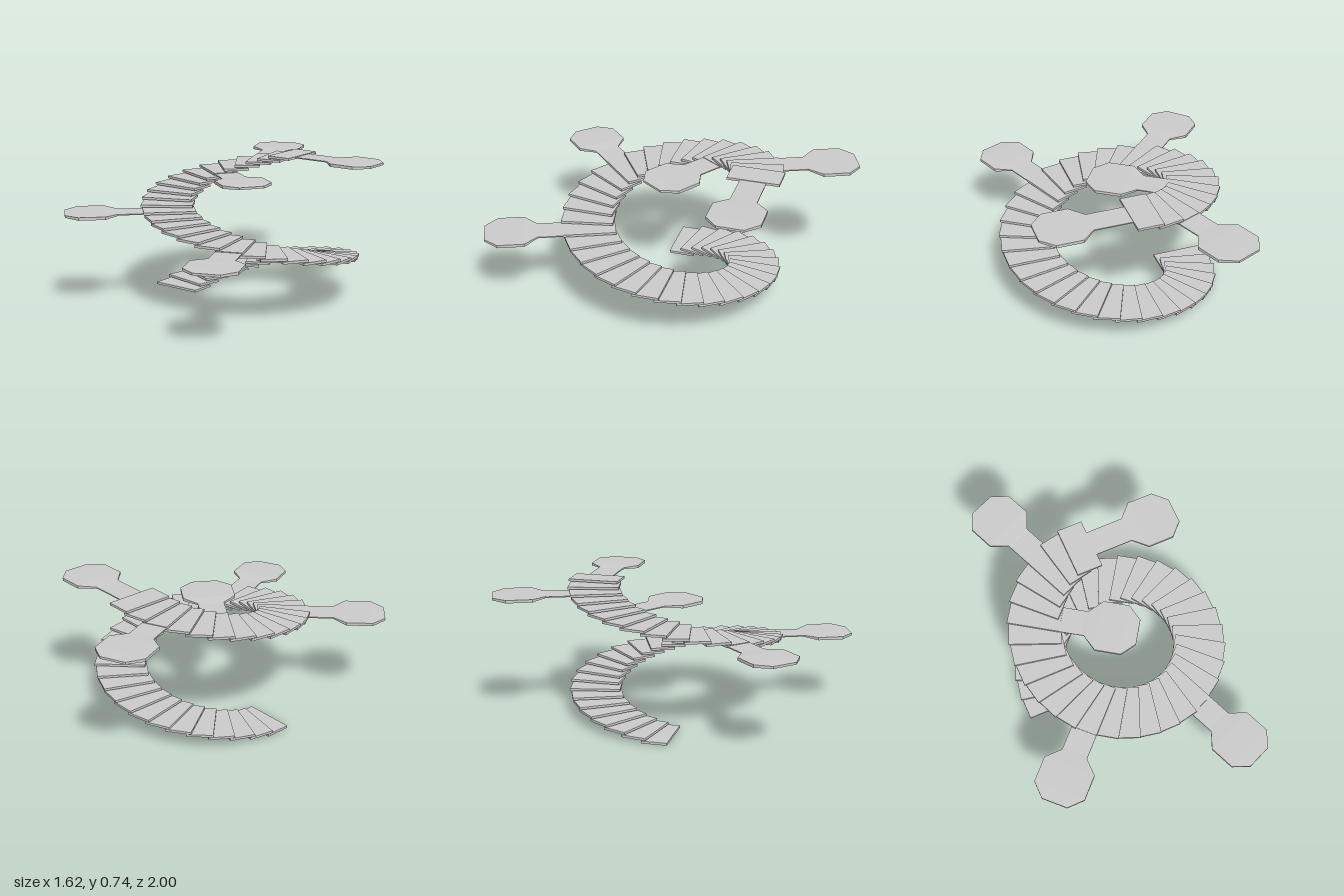
import * as THREE from 'three';

const STEPS = 41, RISE = 0.0182, TURN = Math.PI / 16, START = Math.PI / 8;
const RADIUS = 0.445, LAG = -0.032, THICK = 0.013;

// Landings by step index: turn of the arm relative to its step
const LANDINGS = { 22: 0, 28: 0, 35: Math.PI, 38: 0, 40: -Math.PI / 2 };

// Loft of rectangular sections [distance, half width, half thickness] along x
function loft(sections) {
  const pos = [];
  const ring = ([d, w, t]) => [[d, -t, -w], [d, t, -w], [d, t, w], [d, -t, w]];
  const quad = (a, b, c, d) => pos.push(...a, ...b, ...c, ...a, ...c, ...d);
  const rings = sections.map(ring);
  for (let i = 0; i < rings.length - 1; i++) {
    const p = rings[i], q = rings[i + 1];
    for (let k = 0; k < 4; k++) {
      const n = (k + 1) % 4;
      quad(p[k], p[n], q[n], q[k]);
    }
  }
  const [a, b, c, d] = rings[0], [e, f, g, h] = rings.at(-1);
  quad(d, c, b, a);
  quad(e, f, g, h);
  const geo = new THREE.BufferGeometry();
  geo.setAttribute('position', new THREE.Float32BufferAttribute(pos, 3));
  geo.computeVertexNormals();
  return geo;
}

export function createModel() {
  const model = new THREE.Group();
  model.name = 'spiralStaircase';
  const mat = new THREE.MeshStandardMaterial({
    color: 0xcccccc, flatShading: true, side: THREE.DoubleSide,
  });

  const stepGeo = new THREE.BoxGeometry(0.28, THICK, 0.14);
  // Thin neck widening into an eight-sided platform
  const landingGeo = loft([
    [0.06, 0.07, 0.003], [0.265, 0.07, 0.003], [0.275, 0.07, 0.004],
    [0.345, 0.14, 0.008], [0.485, 0.14, 0.008], [0.555, 0.07, 0.006],
  ]);

  for (let i = 0; i < STEPS; i++) {
    // Each tread pivots about the stair axis
    const tread = new THREE.Group();
    tread.name = `tread${i + 1}`;
    tread.position.set(0.1275, THICK / 2 + i * RISE, 0);
    tread.rotation.y = Math.PI - (START + i * TURN);
    model.add(tread);

    const step = new THREE.Mesh(stepGeo, mat);
    step.name = 'step';
    step.position.set(RADIUS, 0, LAG);
    tread.add(step);

    if (i in LANDINGS) {
      const landing = new THREE.Mesh(landingGeo, mat);
      landing.name = 'landing';
      landing.position.copy(step.position);
      landing.rotation.y = LANDINGS[i];
      tread.add(landing);
    }
  }
  return model;
}
